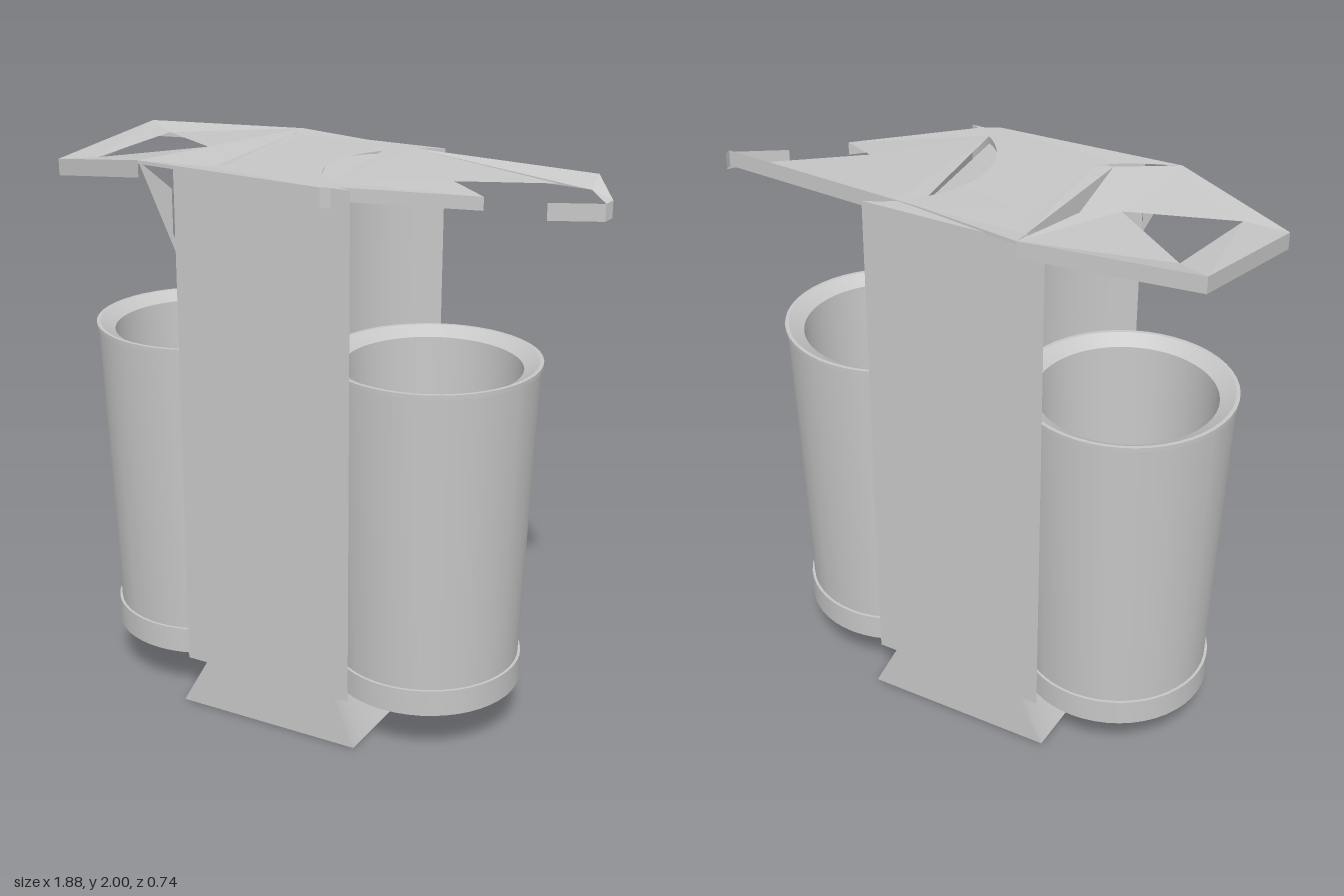
import * as THREE from 'three';
import { toCreasedNormals } from 'three/addons/utils/BufferGeometryUtils.js';

const metal = new THREE.MeshStandardMaterial({ color: 0xc6c6c6, side: THREE.DoubleSide });
metal.name = 'grey metal';

const BITE = 0.37;          // radius of the scoops in the post, matching the bins
const LEFT = -0.52, RIGHT = 0.4;
const HALF = 0.345;         // half depth of the post

function part(name, geometry) {
  const mesh = new THREE.Mesh(geometry, metal);
  mesh.name = name;
  return mesh;
}

function flatGeometry(triangles) {
  const g = new THREE.BufferGeometry();
  g.setAttribute('position', new THREE.Float32BufferAttribute(triangles.flat(2), 3));
  g.computeVertexNormals();
  return g;
}

// Thin upward-facing sheet from a loop of [x, y, z] corners
function sheet(loop) {
  let pts = loop;
  const flat = () => pts.map(p => new THREE.Vector2(p[0], -p[2]));
  if (THREE.ShapeUtils.isClockWise(flat())) pts = [...loop].reverse();
  return flatGeometry(THREE.ShapeUtils.triangulateShape(flat(), []).map(t => t.map(i => pts[i])));
}

// Vertical strip hanging below a path; the path runs with its outside on the right
function skirt(path, drop) {
  const tris = [];
  for (let i = 0; i + 1 < path.length; i++) {
    const a = path[i], b = path[i + 1];
    const c = [a[0], a[1] - drop, a[2]], d = [b[0], b[1] - drop, b[2]];
    tris.push([a, c, d], [a, d, b]);
  }
  return flatGeometry(tris);
}

// Points on a scoop circle between two angles
function arc(cx, y, from, to, n = 20) {
  return Array.from({ length: n + 1 }, (_, i) => {
    const t = from + (to - from) * i / n;
    return [cx + BITE * Math.cos(t), y, BITE * Math.sin(t)];
  });
}

// Post: rectangle with a circular scoop on each side
function postGeometry() {
  const a = Math.asin(HALF / BITE), s = new THREE.Shape();
  s.absarc(LEFT, 0, BITE, a, -a, true);
  s.absarc(RIGHT, 0, BITE, Math.PI + a, Math.PI - a, true);
  s.closePath();
  const g = new THREE.ExtrudeGeometry(s, { depth: 1.805, bevelEnabled: false, curveSegments: 32 });
  g.rotateX(-Math.PI / 2).translate(0, 0.18, 0);
  return toCreasedNormals(g, 0.5);
}

// Foot: flares from a scooped top to a rectangular bottom
function footGeometry() {
  const n = 12, tris = [];
  const row = i => {
    const z = -HALF + 2 * HALF * i / n, sag = 0.06 * (1 - (z / HALF) ** 2);
    return [[-0.41, 0, z], [-0.31 + sag, 0.18, z], [0.2 - sag, 0.18, z], [0.29, 0, z]];
  };
  for (let i = 0; i < n; i++) {
    const p = row(i), q = row(i + 1);
    for (let k = 0; k < 4; k++) {
      const m = (k + 1) % 4;
      tris.push([p[k], q[k], q[m]], [p[k], q[m], p[m]]);
    }
  }
  const b = row(0), f = row(n);
  tris.push([b[0], b[1], b[2]], [b[0], b[2], b[3]], [f[0], f[2], f[1]], [f[0], f[3], f[2]]);
  return toCreasedNormals(flatGeometry(tris), 0.5);
}

// Bin: bottom band, tapered wall, lip, sloped rim and hollow inside
function binGeometry() {
  const profile = [
    [0, 0.18], [0.335, 0.18], [0.335, 0.275], [0.325, 0.275], [0.363, 1.345], [0.37, 1.345],
    [0.37, 1.36], [0.357, 1.36], [0.305, 1.33], [0.26, 0.3], [0, 0.3],
  ].map(p => new THREE.Vector2(...p));
  return toCreasedNormals(new THREE.LatheGeometry(profile, 48), 0.5);
}

function roof() {
  const g = new THREE.Group();
  g.name = 'roof';
  const notch = Math.acos((-0.3 - LEFT) / BITE);
  const backLens = [0.1, 1.988, -0.217], frontLens = [0.165, 1.988, 0.286];

  // corners of the middle panel
  const front = [-0.51, 2, 0.365], back = [-0.3, 1.995, -0.365];
  const backStep = [0.09, 1.99, -0.3], backRight = [0.17, 1.987, -0.29];
  const frontStep = [0.17, 1.988, 0.365], frontRight = [0.23, 1.987, 0.33];
  const lensFrom = Math.PI + Math.asin(0.217 / BITE), lensTo = Math.PI - Math.asin(0.286 / BITE);
  g.add(part('middlePanel', sheet([
    front, ...arc(LEFT, 1.99, notch, -notch), back, backStep, backRight,
    ...arc(RIGHT, 1.988, lensFrom, lensTo), frontRight, frontStep,
  ])));
  g.add(part('middleFrontLip', skirt([front, frontStep], 0.012)));
  g.add(part('frontHook', skirt([frontStep, [0.2, 1.986, 0.35]], 0.065)));
  g.add(part('middleBackLip', skirt([backRight, backStep, back], 0.012)));

  // sunken faces beside the scoops
  g.add(part('rightRecess', sheet(arc(RIGHT, 1.986, lensFrom, lensTo).map(p => [p[0], 1.987 - 0.2 * (p[0] - 0.03), p[2]]))));
  const low = [-0.3, 1.9, 0], notchFront = [-0.297, 1.975, 0.295], notchBack = [-0.297, 1.99, -0.295];
  g.add(part('leftRecessSteep', flatGeometry([[back, low, front], [back, notchBack, low]])));
  g.add(part('leftRecessFront', flatGeometry([[low, notchFront, front]])));
  g.add(part('leftRecess', sheet([low, notchBack, ...arc(LEFT, 1.987, -notch, notch).slice(1, -1), notchFront])));

  // left wing with a triangular window
  const outBack = [-0.88, 1.985, -0.27], outFront = [-0.945, 1.93, 0.22];
  const w1 = [-0.76, 1.965, -0.2], w2 = [-0.8, 1.945, 0.19], w3 = [-0.47, 1.98, 0];
  g.add(part('leftWingOuter', sheet([back, outBack, outFront, w2, w1])));
  g.add(part('leftWingInner', sheet([back, w1, w3, w2, outFront, front])));
  g.add(part('leftWingSkirt', skirt([back, outBack, outFront, front], 0.058)));

  // right wing, notched at its outer edge
  const h = [0.74, 1.95, -0.19], inner = [0.46, 1.965, 0], j = [0.6, 1.948, 0.08];
  g.add(part('rightWing', sheet([backLens, backRight, h, inner, j, frontRight, frontLens])));
  g.add(part('rightWingSkirt', skirt([frontRight, j], 0.045)));
  const barEnd = [0.86, 1.985, -0.24], barLow = [0.86, 1.945, -0.18];
  const tip = [0.94, 1.925, -0.16], tipLow = [0.93, 1.92, -0.125], tail = [0.77, 1.925, -0.03];
  g.add(part('rightWingBar', sheet([backRight, barEnd, barLow])));
  g.add(part('rightWingTip', sheet([barEnd, tip, tipLow, barLow])));
  g.add(part('rightWingBackSkirt', skirt([tip, barEnd, backRight], 0.055)));
  g.add(part('rightWingTail', skirt([tail, tipLow, tip], 0.058)));

  // loose strap hanging down the front
  const s = [[-0.51, 2], [-0.38, 1.92], [-0.38, 1.77], [-0.285, 1.565], [-0.3, 1.555]];
  const strap = new THREE.ShapeGeometry(new THREE.Shape(s.map(p => new THREE.Vector2(...p))));
  g.add(part('strap', strap.translate(0, 0, 0.365)));
  return g;
}

export function createModel() {
  const model = new THREE.Group();
  model.name = 'twinBin';
  model.add(part('post', postGeometry()), part('foot', footGeometry()));
  for (const [name, x] of [['rightBin', LEFT], ['leftBin', RIGHT]]) {
    const bin = part(name, binGeometry());
    bin.position.x = x;
    model.add(bin);
  }
  model.add(roof());
  return model;
}
